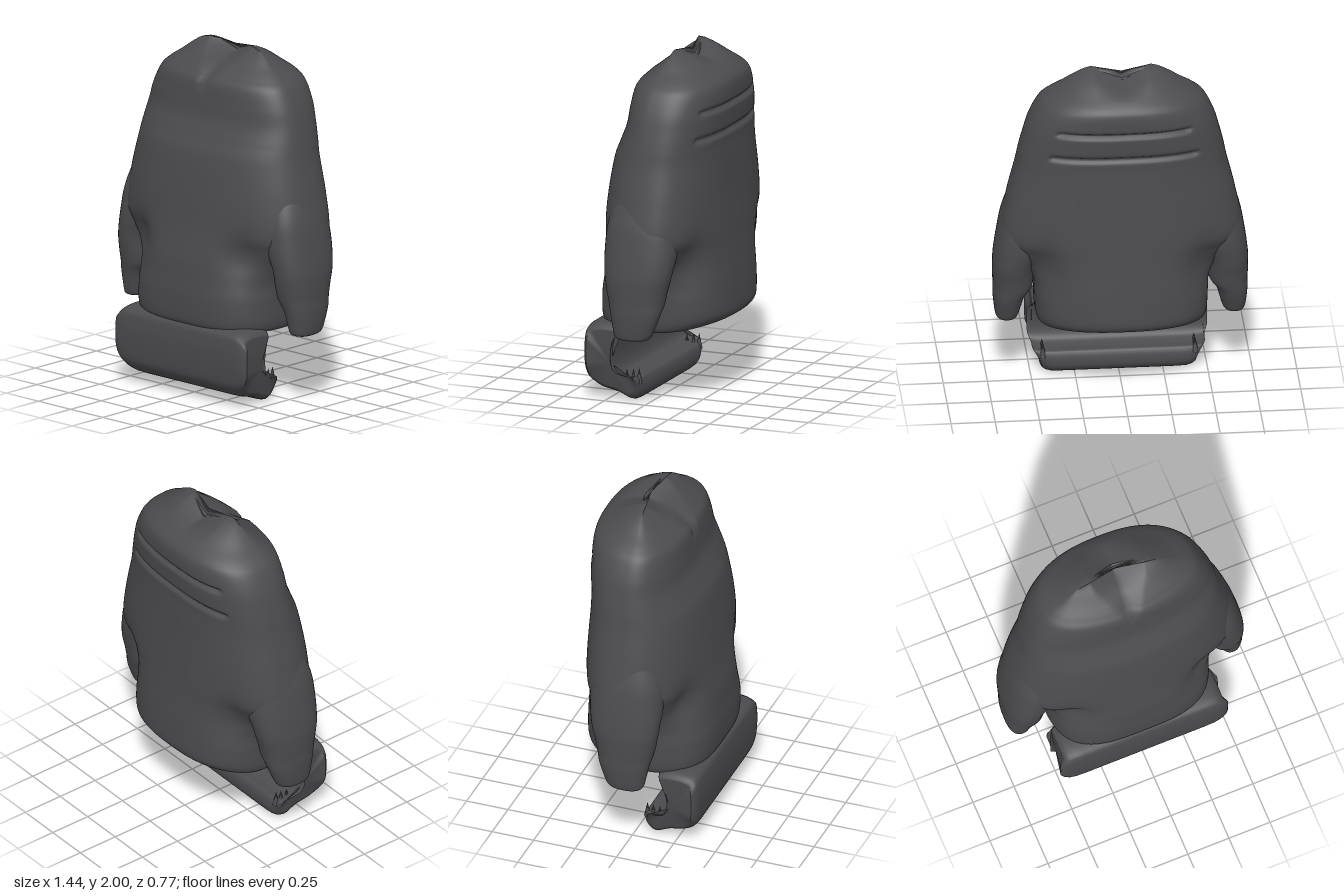
import * as THREE from 'three';

const clamp01 = (t) => Math.min(1, Math.max(0, t));
const smooth = (t) => { t = clamp01(t); return t * t * (3 - 2 * t); };
const bump = (d, r) => Math.exp(-(d * d) / (r * r));

// Smoothly interpolates a table of rows; t runs from 0 to 1.
function sampleRows(rows, t) {
  const f = t * (rows.length - 1);
  const i = Math.min(Math.floor(f), rows.length - 2);
  const u = f - i;
  const at = (k) => rows[Math.min(rows.length - 1, Math.max(0, k))];
  return rows[i].map((_, c) => {
    const [a, b, d, e] = [at(i - 1)[c], at(i)[c], at(i + 1)[c], at(i + 2)[c]];
    return b + 0.5 * u * (d - a + u * (2 * a - 5 * b + 4 * d - e + u * (3 * (b - d) + e - a)));
  });
}

// Skins closed rings of points and closes both ends with separate caps.
function loft(rings) {
  const n = rings[0].length;
  const pos = [];
  const idx = [];
  const push = (p) => pos.push(p.x, p.y, p.z);
  rings.forEach((r) => r.forEach(push));
  for (let i = 0; i < rings.length - 1; i++) {
    for (let j = 0; j < n; j++) {
      const a = i * n + j, b = i * n + (j + 1) % n;
      idx.push(a, a + n, b, b, a + n, b + n);
    }
  }
  [rings[0], rings[rings.length - 1]].forEach((ring, end) => {
    const start = pos.length / 3;
    const mid = new THREE.Vector3();
    ring.forEach((p) => { push(p); mid.addScaledVector(p, 1 / n); });
    push(mid);
    for (let j = 0; j < n; j++) {
      const a = start + j, b = start + (j + 1) % n;
      if (end) idx.push(start + n, b, a);
      else idx.push(start + n, a, b);
    }
  });
  const g = new THREE.BufferGeometry();
  g.setAttribute('position', new THREE.Float32BufferAttribute(pos, 3));
  g.setIndex(idx);
  g.computeVertexNormals();
  return g;
}

// Torso levels: height, half width, front z, back z, front and back squareness
const TORSO = [
  [0.42, 0.46, 0.34, -0.31, 3.2, 2.5],
  [0.44, 0.475, 0.365, -0.355, 3.2, 2.5],
  [0.49, 0.485, 0.375, -0.38, 3.2, 2.6],
  [0.6, 0.49, 0.38, -0.38, 3.0, 2.7],
  [0.7, 0.5, 0.375, -0.375, 2.7, 2.7],
  [0.8, 0.55, 0.37, -0.367, 2.4, 2.5],
  [0.9, 0.62, 0.355, -0.36, 2.3, 2.4],
  [1.0, 0.68, 0.34, -0.355, 2.3, 2.4],
  [1.2, 0.648, 0.318, -0.345, 2.4, 2.5],
  [1.4, 0.6, 0.288, -0.338, 2.4, 2.5],
  [1.5, 0.58, 0.25, -0.335, 2.4, 2.6],
  [1.6, 0.555, 0.21, -0.345, 2.4, 2.6],
  [1.7, 0.525, 0.195, -0.35, 2.4, 2.6],
  [1.8, 0.475, 0.18, -0.35, 2.3, 2.5],
  [1.85, 0.425, 0.14, -0.33, 2.2, 2.4],
  [1.9, 0.35, 0.08, -0.27, 2.2, 2.3],
  [1.95, 0.28, 0.015, -0.2, 2.2, 2.2],
  [1.985, 0.22, -0.045, -0.125, 2.2, 2.2],
  [2.0, 0.17, -0.075, -0.09, 2, 2],
];

function torsoGeometry() {
  const levels = 200, cols = 128, zm = -0.04;
  const rings = [];
  for (let i = 0; i <= levels; i++) {
    const [y, w, zf, zb, ef, eb] = sampleRows(TORSO, i / levels);
    const ring = [];
    for (let j = 0; j < cols; j++) {
      const a = (j / cols) * Math.PI * 2;
      const c = Math.cos(a), s = Math.sin(a), e = s > 0 ? ef : eb;
      const x = w * Math.sign(c) * Math.abs(c) ** (2 / e);
      const k = Math.abs(s) ** (2 / e);
      let z = s > 0 ? zm + (zf - zm) * k : zm + (zb - zm) * k;
      let py = y;
      const ax = Math.abs(x);
      if (s > 0) {
        // V-shaped collar fold, and soft hollows in front of the armpits
        const t = clamp01((y - 1.74) / 0.26);
        if (t > 0) z -= 0.11 * t * (1 - t * 0.6) * clamp01(1 - ax / (0.175 * t));
        z -= 0.045 * bump(ax - 0.39, 0.1) * bump(y - 0.86, 0.12);
      } else {
        // Two long creases across the back, and hollows behind the armpits
        z += 0.024 * bump(y - 1.7, 0.014) * smooth((0.4 - ax) / 0.05);
        z += 0.024 * bump(y - 1.545, 0.016) * smooth((0.44 - ax) / 0.05);
        z += 0.05 * bump(ax - 0.46, 0.1) * bump(y - 0.82, 0.15);
      }
      // Dip between the shoulders and a hem that rises at the back
      py -= 0.055 * clamp01(1 - ax / 0.16) * smooth((y - 1.88) / 0.12);
      if (y < 0.6) py += 0.03 * smooth(-z / 0.38) * clamp01((0.6 - y) / 0.18);
      ring.push(new THREE.Vector3(x, py, z));
    }
    rings.push(ring);
  }
  return loft(rings);
}

// Sleeve levels: height, inner x, outer x, back z, front z
const SLEEVE = [
  [0.42, 0.6, 0.69, -0.05, 0.09],
  [0.435, 0.58, 0.705, -0.09, 0.12],
  [0.5, 0.56, 0.715, -0.12, 0.135],
  [0.57, 0.54, 0.72, -0.145, 0.15],
  [0.63, 0.5, 0.72, -0.16, 0.165],
  [0.7, 0.49, 0.722, -0.175, 0.18],
  [0.8, 0.48, 0.72, -0.2, 0.195],
  [0.95, 0.42, 0.7, -0.22, 0.205],
  [1.1, 0.4, 0.67, -0.2, 0.19],
  [1.3, 0.4, 0.6, -0.12, 0.12],
];

function sleeveGeometry(side) {
  const rings = [];
  for (let i = 0; i <= 54; i++) {
    const [y, x0, x1, z0, z1] = sampleRows(SLEEVE, i / 54);
    const ring = [];
    for (let j = 0; j < 40; j++) {
      const a = (j / 40) * Math.PI * 2, c = Math.cos(a), s = Math.sin(a);
      ring.push(new THREE.Vector3(
        side * (x0 + x1) / 2 + (x1 - x0) / 2 * Math.sign(c) * Math.abs(c) ** 0.85,
        y,
        (z0 + z1) / 2 + (z1 - z0) / 2 * Math.sign(s) * Math.abs(s) ** 0.85));
    }
    rings.push(ring);
  }
  return loft(rings);
}

// Hem band outline as z, y, going up the front and down the hollow back
const BAND = [
  [0.1, 0.005], [0.2, 0.04], [0.3, 0.065], [0.365, 0.12], [0.383, 0.21], [0.383, 0.37],
  [0.365, 0.43], [0.25, 0.455], [0.14, 0.435], [0.185, 0.39], [0.2, 0.34], [0.2, 0.22],
  [0.175, 0.165], [0.12, 0.145], [0.06, 0.14], [0.05, 0.05],
];

function bandGeometry() {
  const outline = new THREE.CatmullRomCurve3(
    BAND.map(([z, y]) => new THREE.Vector3(0, y, z)), true, 'centripetal').getPoints(96).slice(0, -1);
  const half = [[0, 1], [0.2, 1], [0.38, 1], [0.44, 0.99], [0.475, 0.96], [0.5, 0.9], [0.51, 0.82]];
  const stations = [
    ...half.slice(1).reverse().map(([x, k]) => [-x, k]), ...half];
  return loft(stations.map(([x, k]) => outline.map((p) => new THREE.Vector3(
    x * (1 - 0.13 * smooth((0.22 - p.y) / 0.2) - 0.05 * smooth((p.y - 0.38) / 0.06)),
    0.23 + (p.y - 0.23) * k,
    0.23 + (p.z - 0.23) * k))));
}

export function createModel() {
  const model = new THREE.Group();
  model.name = 'jacket';
  const cloth = new THREE.MeshStandardMaterial({ color: 0x4c4c4f });
  cloth.name = 'charcoal cloth';
  const add = (name, geometry) => {
    const mesh = new THREE.Mesh(geometry, cloth);
    mesh.name = name;
    model.add(mesh);
    return mesh;
  };

  add('torso', torsoGeometry());
  add('hemBand', bandGeometry());
  for (const side of [-1, 1]) {
    const label = side > 0 ? 'left' : 'right';
    add(label + 'Sleeve', sleeveGeometry(side));
    // Ragged points at the ends of the hem lip
    [0.065, 0.1, 0.14].forEach((z, i) => {
      const tooth = add(label + 'HemPoint' + (i + 1), new THREE.ConeGeometry(0.02, 0.09, 8));
      tooth.position.set(side * 0.43, 0.155 - i * 0.005, z);
    });
  }
  return model;
}
